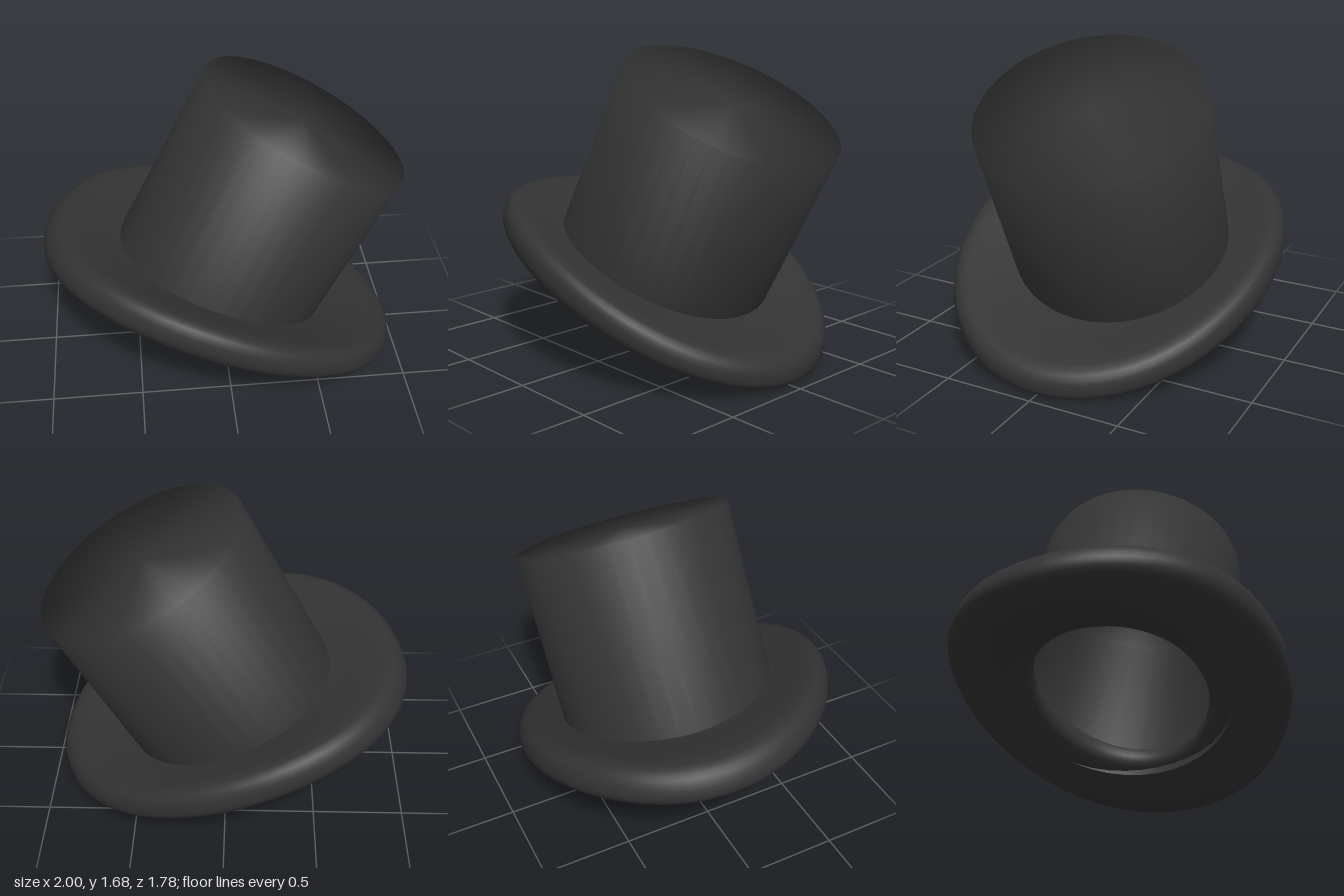
import * as THREE from 'three';
import { mergeVertices } from 'three/addons/utils/BufferGeometryUtils.js';

const felt = new THREE.MeshStandardMaterial({ color: 0x333333 });
const openFelt = new THREE.MeshStandardMaterial({ color: 0x333333, side: THREE.DoubleSide });

// Height of the brim's middle surface: a soft S-curve falling towards +x, sides raised.
const brimHeight = (x, z) => 0.45 - 0.42 * x - 0.07 * x * x + 0.06 * x ** 3
  + 0.09 * z + 0.07 * z * z;

// Thick ring with a rolled edge, bent to the height curve.
function createBrim() {
  const section = [
    [1.0, -0.03], [0.985, 0.045], [0.93, 0.085], [0.8, 0.075], [0.65, 0.05], [0.53, 0.03],
    [0.52, -0.07], [0.6, -0.12], [0.75, -0.135], [0.9, -0.12], [0.975, -0.08],
  ].map(([r, v]) => new THREE.Vector3(r, v, 0));
  const loop = new THREE.CatmullRomCurve3(section, true).getPoints(33)
    .map((p) => new THREE.Vector2(p.x, p.y));
  let geometry = new THREE.LatheGeometry(loop, 64);
  const pos = geometry.attributes.position;
  for (let i = 0; i < pos.count; i++) {
    // A slightly skewed oval outline.
    const z = pos.getZ(i) * 0.89;
    const x = pos.getX(i) * 0.98 + 0.08 * z - 0.01;
    // The underside thins towards the low end.
    const v = pos.getY(i) * (pos.getY(i) < 0 ? 1 - 0.35 * Math.max(x, 0) : 1);
    pos.setXYZ(i, x + 0.35 * v, brimHeight(x, z) + v, z);
  }
  // Weld the seams so the normals run smoothly all round.
  geometry.deleteAttribute('normal');
  geometry.deleteAttribute('uv');
  geometry = mergeVertices(geometry, 1e-4);
  geometry.computeVertexNormals();
  const brim = new THREE.Mesh(geometry, felt);
  brim.name = 'brim';
  return brim;
}

// Hollow crown, open below, shaded smoothly over its rim, leaning to +x and slightly back.
function createCrown() {
  const radius = 0.608, height = 1.13;
  const profile = [[radius, 0], [radius, height], [0, height]]
    .map(([r, y]) => new THREE.Vector2(r, y));
  const crown = new THREE.Mesh(new THREE.LatheGeometry(profile, 40), openFelt);
  const axis = new THREE.Vector3(0.457, 0.888, -0.055).normalize();
  crown.quaternion.setFromUnitVectors(new THREE.Vector3(0, 1, 0), axis);
  crown.position.set(-0.06, 0.375, 0);
  crown.name = 'crown';
  return crown;
}

export function createModel() {
  const hat = new THREE.Group();
  hat.name = 'topHat';
  hat.add(createBrim(), createCrown());
  return hat;
}
